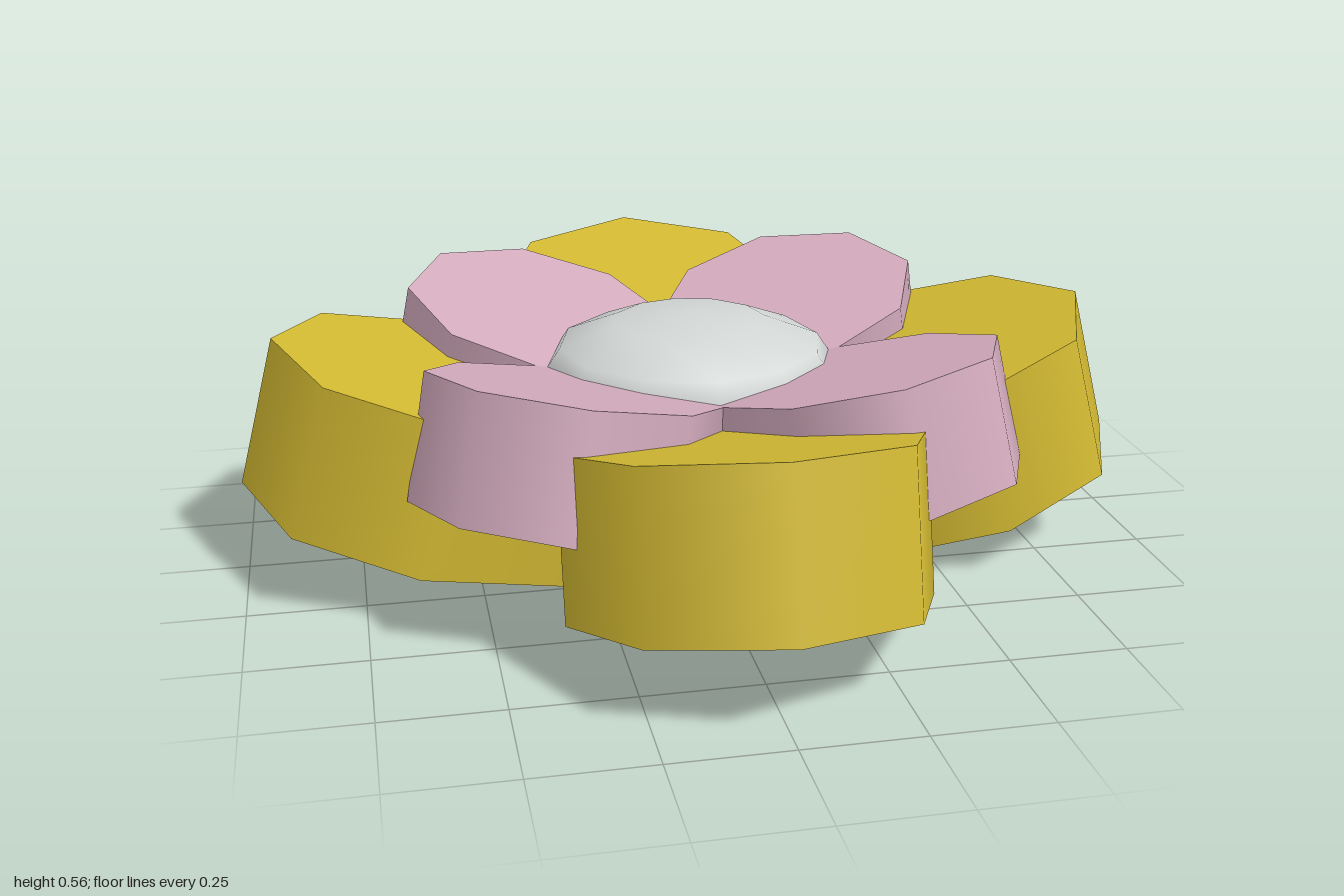
import * as THREE from 'three';

const mat = (name, color) => {
  const m = new THREE.MeshStandardMaterial({ color });
  m.name = name;
  return m;
};

// Thick eight-sided petal: regular outer half, squared-off inner end
function petalGeometry() {
  const height = 0.336, radius = 0.375, innerEnd = -0.41;
  const g = new THREE.CylinderGeometry(radius, radius, height, 8);
  g.translate(0, height / 2, 0);
  const p = g.attributes.position;
  for (let i = 0; i < p.count; i++) {
    if (p.getX(i) < -0.01) p.setX(i, innerEnd);
  }
  return g;
}

// Ring of four petals, each tilted upwards at its outer end
function petalRing(name, geometry, material) {
  const ring = new THREE.Group();
  ring.name = name;
  for (let i = 0; i < 4; i++) {
    const arm = new THREE.Group();
    arm.rotation.y = i * Math.PI / 2;
    const petal = new THREE.Mesh(geometry, material);
    petal.name = name + 'Petal';
    petal.position.set(0.638, 0.109, 0);
    petal.rotation.z = Math.PI / 12;
    arm.add(petal);
    ring.add(arm);
  }
  return ring;
}

export function createModel() {
  const flower = new THREE.Group();
  flower.name = 'flower';
  const geometry = petalGeometry();

  // Large lower petals
  flower.add(petalRing('outer', geometry, mat('yellow', 0xd2b932)));

  // Smaller upper petals, between the lower ones
  const inner = petalRing('inner', geometry, mat('pink', 0xd3abbd));
  inner.scale.setScalar(0.8);
  inner.rotation.y = Math.PI / 4;
  inner.position.y = 0.137;
  flower.add(inner);

  // Flattened round centre
  const centre = new THREE.Mesh(new THREE.SphereGeometry(0.34, 12, 6), mat('paleGrey', 0xd2d6d4));
  centre.name = 'flowerCentre';
  centre.scale.y = 0.4;
  centre.position.y = 0.4;
  flower.add(centre);

  return flower;
}
